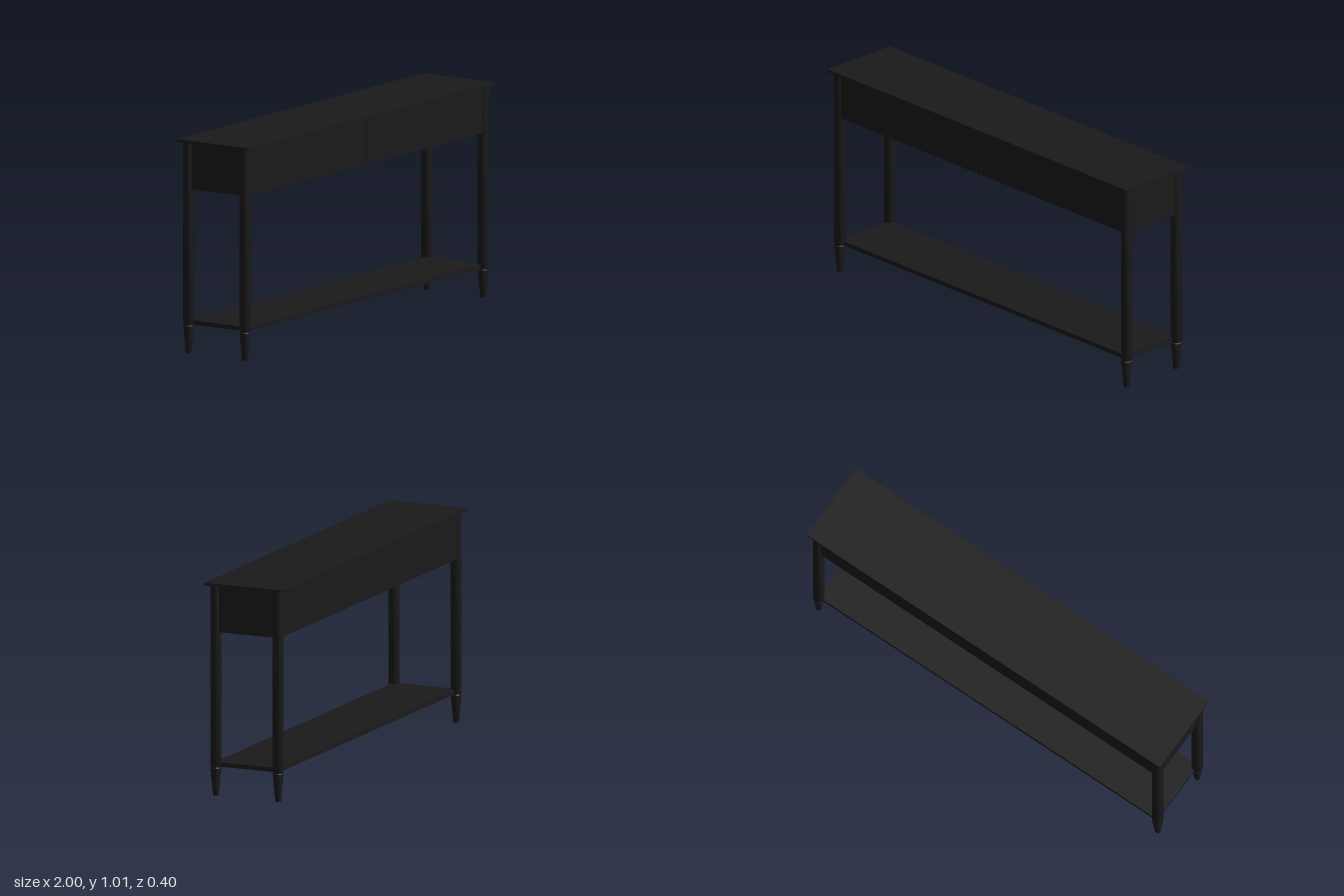
import * as THREE from 'three';
import { toCreasedNormals } from 'three/addons/utils/BufferGeometryUtils.js';

export function createModel() {
  const table = new THREE.Group();
  table.name = 'consoleTable';
  const material = new THREE.MeshStandardMaterial({ color: 0x1a1a1a });

  const add = (name, geometry, x = 0, y = 0, z = 0) => {
    const mesh = new THREE.Mesh(geometry, material);
    mesh.name = name;
    mesh.position.set(x, y, z);
    table.add(mesh);
  };
  // Box given by its extents on each axis
  const slab = (name, x0, x1, y0, y1, z0, z1) =>
    add(name, new THREE.BoxGeometry(x1 - x0, y1 - y0, z1 - z0),
      (x0 + x1) / 2, (y0 + y1) / 2, (z0 + z1) / 2);

  // Top and lower shelf
  slab('tableTop', -1, 1, 1.0, 1.013, -0.2, 0.2);
  slab('lowerShelf', -0.96, 0.96, 0.137, 0.158, -0.163, 0.163);

  // Apron: back rail and end panels
  const bottom = 0.778;
  slab('backApron', -0.955, 0.955, bottom, 1.0, -0.173, -0.158);
  for (const s of [-1, 1]) {
    const inner = s * 0.957, outer = s * 0.972;
    slab(s > 0 ? 'leftApron' : 'rightApron', Math.min(inner, outer), Math.max(inner, outer),
      bottom, 1.0, -0.155, 0.155);
  }

  // Two drawers with a narrow seam between the fronts and recessed bottoms
  for (const s of [-1, 1]) {
    const side = s > 0 ? 'left' : 'right';
    const a = s * 0.002, b = s * 0.945;
    slab(side + 'DrawerFront', Math.min(a, b), Math.max(a, b), bottom, 0.998, 0.158, 0.173);
    const c = s * 0.008, d = s * 0.957;
    slab(side + 'DrawerBottom', Math.min(c, d), Math.max(c, d), 0.804, 0.814, -0.158, 0.158);
  }
  slab('centreDivider', -0.008, 0.008, bottom + 0.002, 1.0, -0.158, 0.158);

  // Round legs: tapered foot, small groove, straight post
  const profile = [
    [0, 0], [0.0125, 0], [0.0135, 0.002], [0.025, 0.124], [0.0255, 0.13], [0.022, 0.135],
    [0.023, 0.138], [0.026, 0.143], [0.026, 1.0], [0, 1.0],
  ].map(([r, y]) => new THREE.Vector2(r, y));
  const legGeometry = toCreasedNormals(new THREE.LatheGeometry(profile, 32), 0.6);
  for (const x of [-0.96, 0.96]) {
    for (const z of [-0.16, 0.16]) {
      add((z > 0 ? 'front' : 'back') + (x > 0 ? 'Left' : 'Right') + 'Leg', legGeometry, x, 0, z);
    }
  }
  return table;
}
